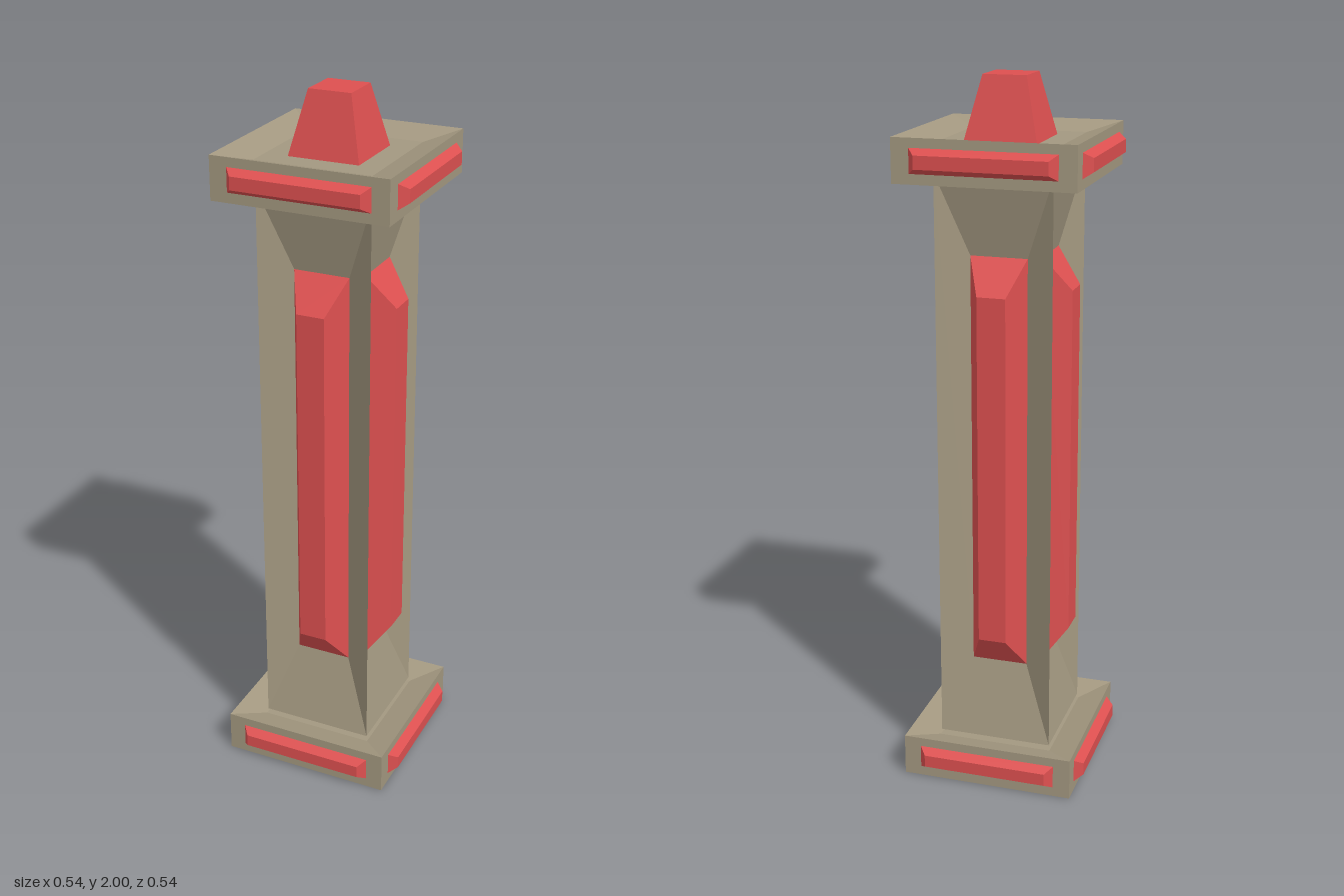
import * as THREE from 'three';

const stone = new THREE.MeshStandardMaterial({ color: 0xa39880, flatShading: true });
const crystal = new THREE.MeshStandardMaterial({ color: 0xdd5050, flatShading: true });

// Flat-sided loft through rectangles [halfWidth, halfHeight, z], with optional end caps
function loft(sections, capStart, capEnd) {
  const pos = [];
  const corners = ([w, h, z]) => [[-w, -h, z], [w, -h, z], [w, h, z], [-w, h, z]];
  const quad = (a, b, c, d) => pos.push(...a, ...b, ...c, ...a, ...c, ...d);
  const rings = sections.map(corners);
  for (let i = 0; i < rings.length - 1; i++) {
    for (let k = 0; k < 4; k++) {
      const n = (k + 1) % 4;
      quad(rings[i][k], rings[i][n], rings[i + 1][n], rings[i + 1][k]);
    }
  }
  if (capStart) quad(...rings[0].slice().reverse());
  if (capEnd) quad(...rings[rings.length - 1]);
  const g = new THREE.BufferGeometry();
  g.setAttribute('position', new THREE.Float32BufferAttribute(pos, 3));
  g.computeVertexNormals();
  return g;
}

function addMesh(parent, name, geometry, material, y) {
  const mesh = new THREE.Mesh(geometry, material);
  mesh.name = name;
  mesh.position.y = y;
  parent.add(mesh);
  return mesh;
}

export function createModel() {
  const model = new THREE.Group();
  model.name = 'pillar';

  // Square plates with a shallow sunken top
  const plate = loft([[0.248, 0.248, 0], [0.248, 0.248, 0.12], [0.166, 0.166, 0.095]], true, true);
  plate.rotateX(-Math.PI / 2);
  addMesh(model, 'basePlate', plate, stone, 0.005);
  addMesh(model, 'capPlate', plate, stone, 1.735);

  // Tapered crystal on the cap
  const finial = loft([[0.1, 0.1, 0], [0.06, 0.06, 0.17]], true, true);
  finial.rotateX(-Math.PI / 2);
  addMesh(model, 'finial', finial, crystal, 1.83);

  // Shaft faces sink inward to a long bevelled crystal; plates carry small crystal bars
  const shaftFace = loft([[0.163, 0.82, 0.163], [0.08, 0.595, 0.112]], false, true);
  const longGem = loft([[0.08, 0.595, 0.112], [0.04, 0.5, 0.185]], false, true);
  const barGem = loft([[0.2, 0.034, 0.247], [0.179, 0.018, 0.272]], false, true);
  ['front', 'left', 'back', 'right'].forEach((side, i) => {
    const face = new THREE.Group();
    face.name = side + 'Side';
    face.rotation.y = i * Math.PI / 2;
    addMesh(face, 'shaftFace', shaftFace, stone, 0.935);
    addMesh(face, 'shaftCrystal', longGem, crystal, 0.935);
    addMesh(face, 'baseCrystal', barGem, crystal, 0.066);
    addMesh(face, 'capCrystal', barGem, crystal, 1.796);
    model.add(face);
  });
  return model;
}
